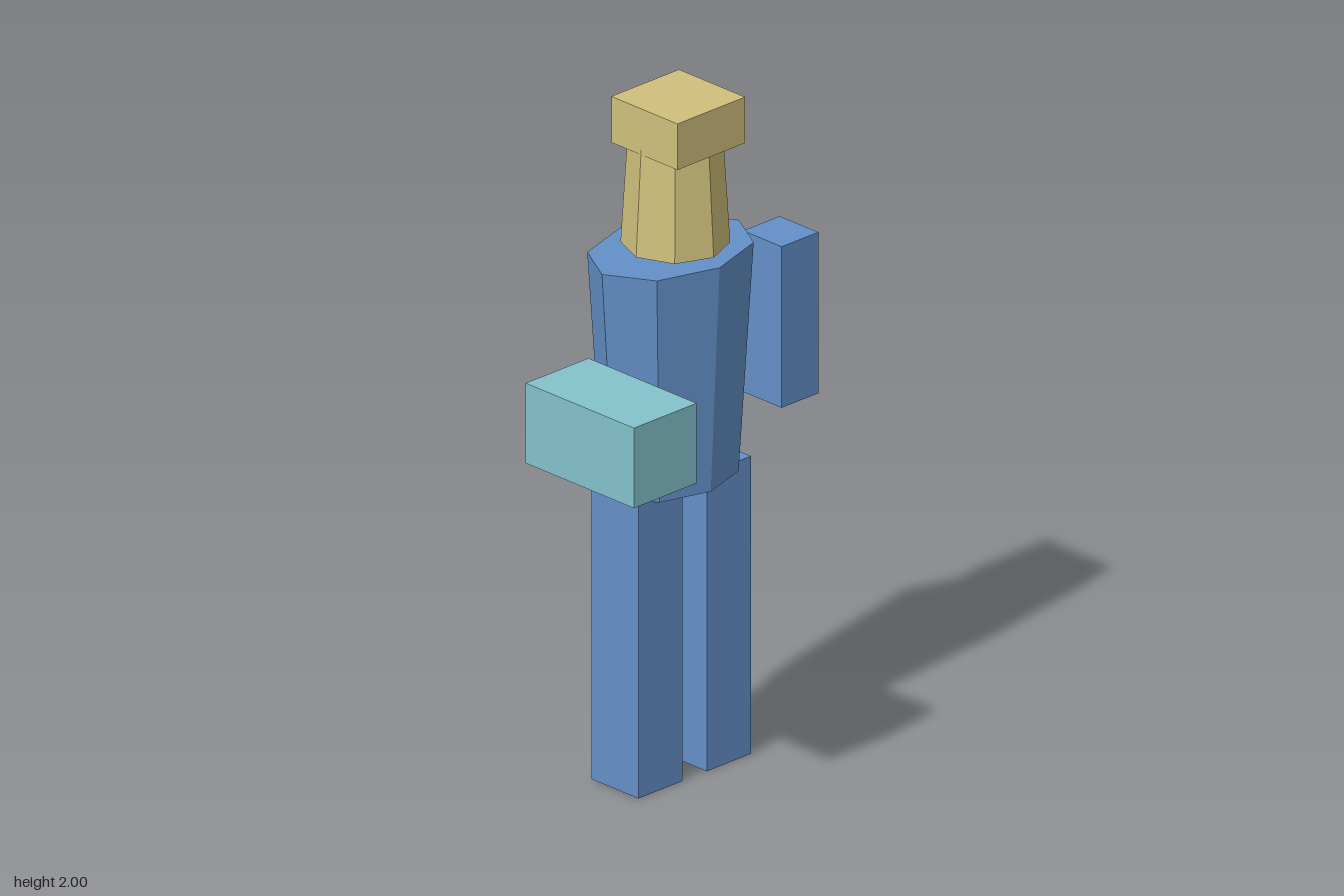
import * as THREE from 'three';

export function createModel() {
  const group = new THREE.Group();
  const material = (name, color) => {
    const m = new THREE.MeshStandardMaterial({ color });
    m.name = name;
    return m;
  };
  const blue = material('blue', 0x6490c8);
  const sand = material('sand', 0xd0c07c);
  const teal = material('teal', 0x84c2cc);

  const add = (name, geometry, mat, x, y, z) => {
    const mesh = new THREE.Mesh(geometry, mat);
    mesh.name = name;
    mesh.position.set(x, y, z);
    group.add(mesh);
    return mesh;
  };

  // Box given by its low and high limits on each axis
  const box = (name, mat, [x0, x1], [y0, y1], [z0, z1]) =>
    add(name, new THREE.BoxGeometry(x1 - x0, y1 - y0, z1 - z0), mat,
      (x0 + x1) / 2, (y0 + y1) / 2, (z0 + z1) / 2);

  // Eight-sided tapered prism with hard facets
  const prism = (name, mat, rTop, rBottom, y0, y1, x, z, depth = 1) => {
    const geometry = new THREE.CylinderGeometry(rTop, rBottom, y1 - y0, 8)
      .scale(1, 1, depth).toNonIndexed();
    geometry.computeVertexNormals();
    return add(name, geometry, mat, x, (y0 + y1) / 2, z);
  };

  // Torso, wider at the shoulders and flattened front to back
  prism('torso', blue, 0.26, 0.213, 0.865, 1.542, 0.045, -0.11, 0.735);

  // Head, tapering up into the square cap
  prism('head', sand, 0.1275, 0.149, 1.565, 1.92, 0.044, -0.09);
  box('cap', sand, [-0.085, 0.172], [1.863, 2], [-0.207, 0.05]);

  // Legs
  box('rightLeg', blue, [-0.17, -0.002], [0, 0.885], [-0.197, -0.015]);
  box('leftLeg', blue, [0.09, 0.258], [0, 0.885], [-0.197, -0.015]);

  // Arms: hanging left arm, right forearm block reaching forward
  box('leftArm', blue, [0.354, 0.493], [1.005, 1.484], [-0.144, 0.006]);
  box('rightForearm', teal, [-0.495, -0.257], [1.065, 1.303], [-0.12, 0.3]);

  return group;
}
